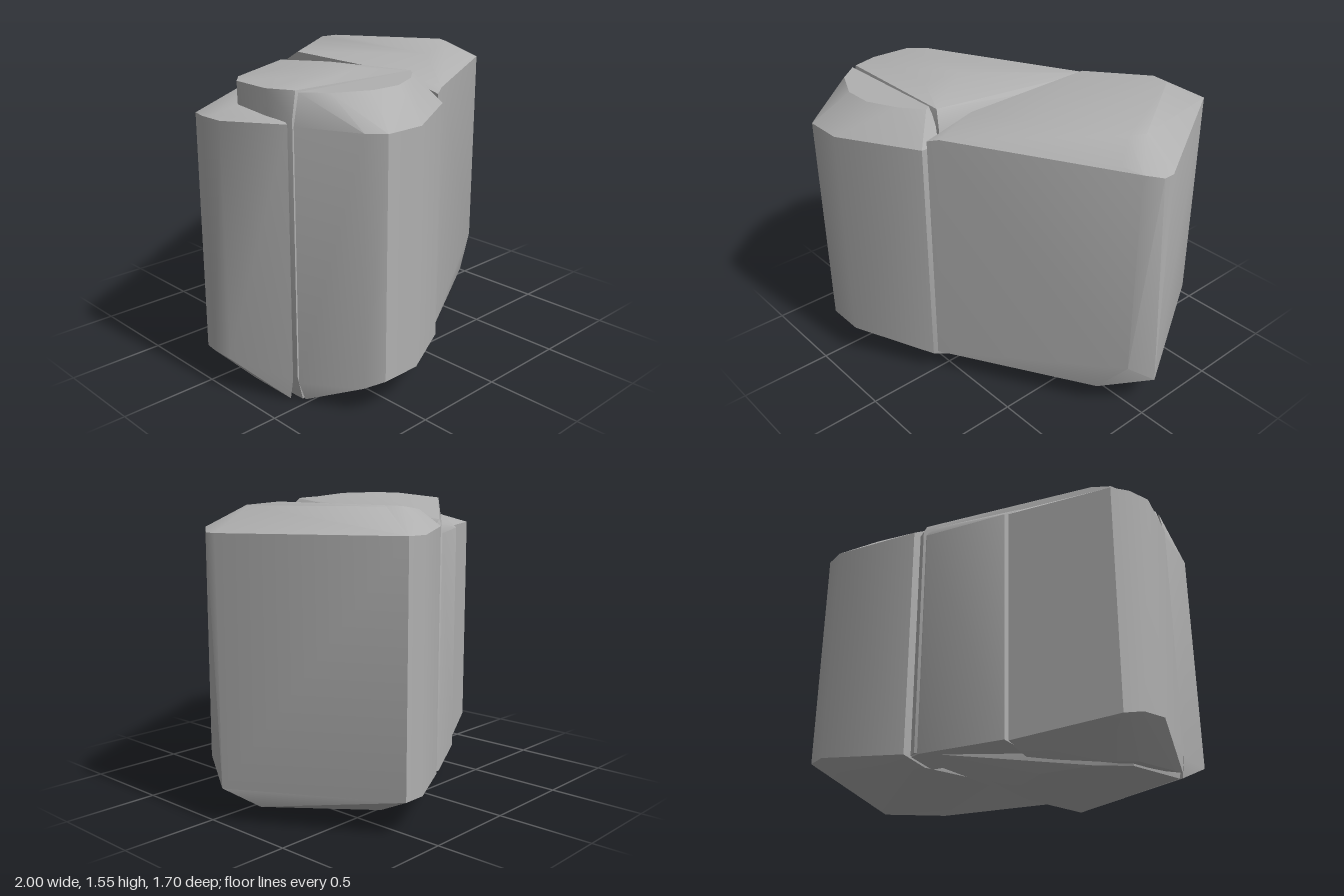
import * as THREE from 'three';
import { toCreasedNormals } from 'three/addons/utils/BufferGeometryUtils.js';
import { ConvexGeometry } from 'three/addons/geometries/ConvexGeometry.js';

// A cut stone: the hull of a few chamfer rings, with softened shallow edges.
function stone(name, material, ...rings) {
  const points = rings.flat().map(([x, y, z]) => new THREE.Vector3(x, y, z));
  const geometry = toCreasedNormals(new ConvexGeometry(points), 0.55);
  const mesh = new THREE.Mesh(geometry, material);
  mesh.name = name;
  return mesh;
}

// Ring of corners [x, z] at one height.
const level = (y, corners) => corners.map(([x, z]) => [x, y, z]);

export function createModel() {
  const group = new THREE.Group();
  group.name = 'rockCluster';
  const rock = new THREE.MeshStandardMaterial({ color: 0xb0b0b0 });
  rock.name = 'stoneGrey';

  // Large block: shoulders, top face, lower shoulders, underside
  group.add(stone('largeBlock', rock,
    [[0.01, 1.41, 0.58], [0.07, 1.43, 0.55], [0.84, 1.44, 0.11], [0.94, 1.42, 0.07], [1, 1.4, -0.01],
      [1, 1.4, -0.07], [0.55, 1.4, -0.85], [0.43, 1.4, -0.85], [0.01, 1.41, -0.61]],
    [[0.76, 1.52, -0.02], [0.35, 1.52, 0.2], [0.8, 1.52, -0.1], [0.46, 1.52, -0.64], [0.36, 1.52, -0.65],
      [0.01, 1.49, -0.47], [0.01, 1.48, 0.3]],
    [[0.01, 0.12, 0.58], [0.79, 0.12, 0.13], [0.94, 0.3, 0.07], [1, 0.18, -0.08], [0.55, 0.18, -0.85],
      [0.43, 0.18, -0.85], [0.01, 0.13, -0.61]],
    level(0.09, [[0.02, 0.5], [0.88, -0.22], [0.52, -0.67], [0.4, -0.67], [0.02, -0.48]])));

  // Middle block: raised crown, sloping shoulders, rounded foot
  group.add(stone('middleBlock', rock,
    level(1.55, [[-0.6, 0.35], [-0.3, 0.35], [-0.3, 0.13], [-0.55, 0.13]]),
    [[-0.79, 1.525, 0.45], [-0.06, 1.52, 0.46], [-0.84, 1.52, 0.3], [-0.83, 1.52, 0.08],
      [-0.76, 1.52, 0], [-0.04, 1.44, -0.56]],
    level(1.4, [[0.01, -0.57], [-0.04, -0.58], [0.01, 0.5], [-0.84, 0.1], [-0.82, 0.46]]),
    level(0.13, [[0.01, -0.57], [-0.04, -0.58], [0.01, 0.5], [-0.83, 0.1], [-0.82, 0.46]]),
    level(0, [[-0.79, 0.46], [-0.06, 0.46], [-0.08, 0.1], [-0.2, -0.08], [-0.45, -0.13], [-0.7, 0], [-0.8, 0.15]])));

  // Front block with a deep chamfer at its foot
  const frontOutline = [[-0.82, 0.47], [-0.68, 0.77], [-0.61, 0.845], [-0.4, 0.845], [0.01, 0.61], [0.01, 0.47]];
  group.add(stone('frontBlock', rock,
    level(1.52, [[-0.79, 0.47], [-0.11, 0.47], [-0.09, 0.5], [-0.2, 0.59], [-0.36, 0.665], [-0.52, 0.665], [-0.7, 0.58]]),
    level(1.37, frontOutline),
    [[-0.82, 0.1, 0.47], [-0.68, 0.14, 0.77], [-0.61, 0.18, 0.845], [-0.4, 0.18, 0.845], [0.01, 0.12, 0.61], [0.01, 0.12, 0.47]],
    level(0.005, [[-0.79, 0.48], [-0.05, 0.47]])));

  // Side slab leaning against the rear of the middle block
  group.add(stone('sideSlab', rock,
    [[-1, 1.375, 0.04], [-1, 1.375, 0.17], [-0.97, 1.37, -0.06], [-0.46, 1.38, -0.33],
      [-0.84, 1.38, 0.45]],
    [[-0.97, 1.39, 0.1], [-0.8, 1.42, 0.1], [-0.46, 1.44, -0.25]],
    [[-1, 0.18, 0.04], [-1, 0.18, 0.17], [-0.97, 0.16, -0.06], [-0.46, 0.12, -0.33], [-0.84, 0.12, 0.45]],
    level(0.01, [[-0.84, 0.43], [-0.84, 0.15], [-0.75, 0.02]]),
    level(0.06, [[-0.46, -0.2]])));

  // Rear slab filling the gap towards the large block
  group.add(stone('rearSlab', rock,
    [[-0.47, 1.37, -0.35], [-0.06, 1.37, -0.57], [0, 1.37, -0.57]],
    [[-0.47, 1.44, -0.25], [-0.06, 1.42, -0.55], [0, 1.4, -0.45]],
    level(0.12, [[-0.47, -0.35], [-0.06, -0.57], [0, -0.57]]),
    level(0.08, [[-0.47, -0.2], [0, -0.45]])));

  return group;
}
